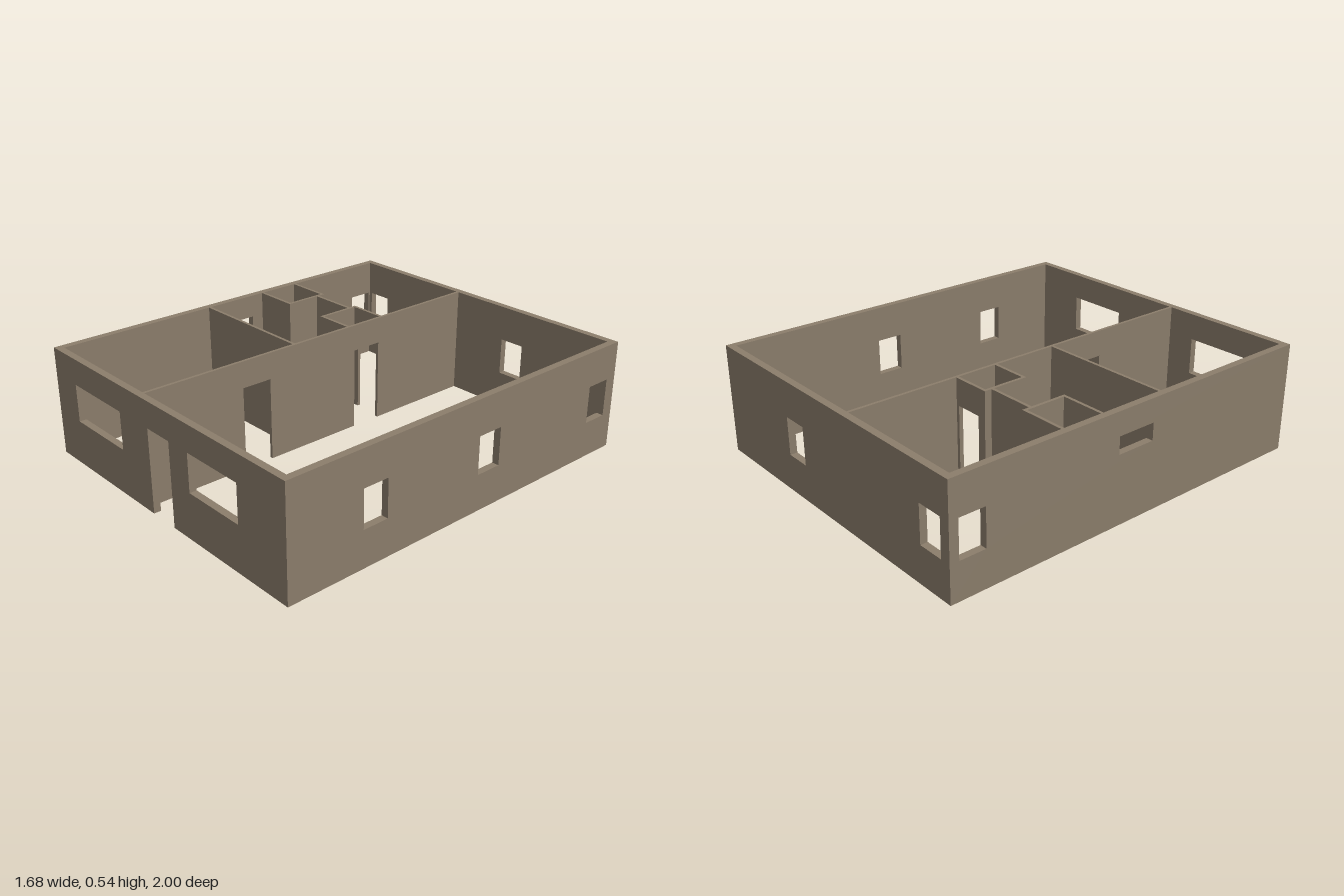
import * as THREE from 'three';

const HEIGHT = 0.54, DOOR_TOP = 0.41;
const OUTER = 0.035, INNER = 0.015;

// Wall panel spanning a..b, with doors [from, to] and windows [from, to, bottom, top]
function panel(a, b, thickness, doors, windows) {
  const shape = new THREE.Shape();
  shape.moveTo(a, 0);
  for (const [d0, d1] of doors) {
    shape.lineTo(d0, 0);
    shape.lineTo(d0, DOOR_TOP);
    shape.lineTo(d1, DOOR_TOP);
    shape.lineTo(d1, 0);
  }
  shape.lineTo(b, 0);
  shape.lineTo(b, HEIGHT);
  shape.lineTo(a, HEIGHT);
  shape.closePath();
  for (const [w0, w1, y0, y1] of windows) {
    const hole = new THREE.Path();
    hole.moveTo(w0, y0);
    hole.lineTo(w0, y1);
    hole.lineTo(w1, y1);
    hole.lineTo(w1, y0);
    hole.closePath();
    shape.holes.push(hole);
  }
  const geometry = new THREE.ExtrudeGeometry(shape, { depth: thickness, bevelEnabled: false });
  return geometry.translate(0, 0, -thickness / 2);
}

export function createModel() {
  const house = new THREE.Group();
  house.name = 'houseWalls';
  const plaster = new THREE.MeshStandardMaterial({ color: 0x8b7d6b });
  plaster.name = 'taupe plaster';

  function add(name, geometry) {
    const mesh = new THREE.Mesh(geometry, plaster);
    mesh.name = name;
    house.add(mesh);
  }
  // Wall running along x, centred on z
  function wallX(name, z, a, b, thickness, doors = [], windows = []) {
    add(name, panel(a, b, thickness, doors, windows).translate(0, 0, z));
  }
  // Wall running along z, centred on x
  function wallZ(name, x, a, b, thickness, doors = [], windows = []) {
    add(name, panel(a, b, thickness, doors, windows).rotateY(-Math.PI / 2).translate(x, 0, 0));
  }

  // Outer walls
  const X = 0.8425 - OUTER / 2, Z = 1 - OUTER / 2;
  const inX = X - OUTER / 2, inZ = Z - OUTER / 2;
  wallX('frontWall', Z, -inX, inX, OUTER, [[-0.07, 0.087]],
    [[-0.667, -0.288, 0.225, 0.41], [0.22, 0.547, 0.225, 0.41]]);
  wallX('backWall', -Z, -inX, inX, OUTER, [],
    [[-0.79, -0.66, 0.18, 0.365], [0.18, 0.312, 0.18, 0.365]]);
  wallZ('leftWall', X, -1, 1, OUTER, [],
    [[-0.94, -0.81, 0.18, 0.365], [-0.183, -0.05, 0.18, 0.365], [0.485, 0.615, 0.18, 0.365]]);
  wallZ('rightWall', -X, -1, 1, OUTER, [],
    [[-0.955, -0.825, 0.18, 0.365], [-0.12, 0.08, 0.34, 0.425]]);

  // Long partition with two doors, and the cross wall
  const px = -0.137, pEdge = px - INNER / 2;
  wallZ('longPartition', px, -inZ, inZ, INNER, [[-0.385, -0.225], [0.3, 0.455]]);
  wallX('crossPartition', 0.146, -inX, pEdge, INNER);

  // Closet and lobby with a recessed wall between them
  const back = -0.41, front = -0.193, cx = -0.584, lx = -0.331, h = INNER / 2;
  wallX('closetBack', back, -inX, cx + h, INNER, [[-0.745, -0.615]]);
  wallX('closetFront', front, -inX, cx + h, INNER);
  wallZ('closetSide', cx, back + h, front - h, INNER);
  wallX('lobbyBack', back, lx - h, pEdge, INNER, [[-0.295, -0.16]]);
  wallX('lobbyFront', front, lx - h, pEdge, INNER, [[-0.295, -0.16]]);
  wallZ('lobbySide', lx, back + h, front - h, INNER);
  wallX('recessWall', -0.374, cx + h, lx - h, INNER);

  return house;
}
